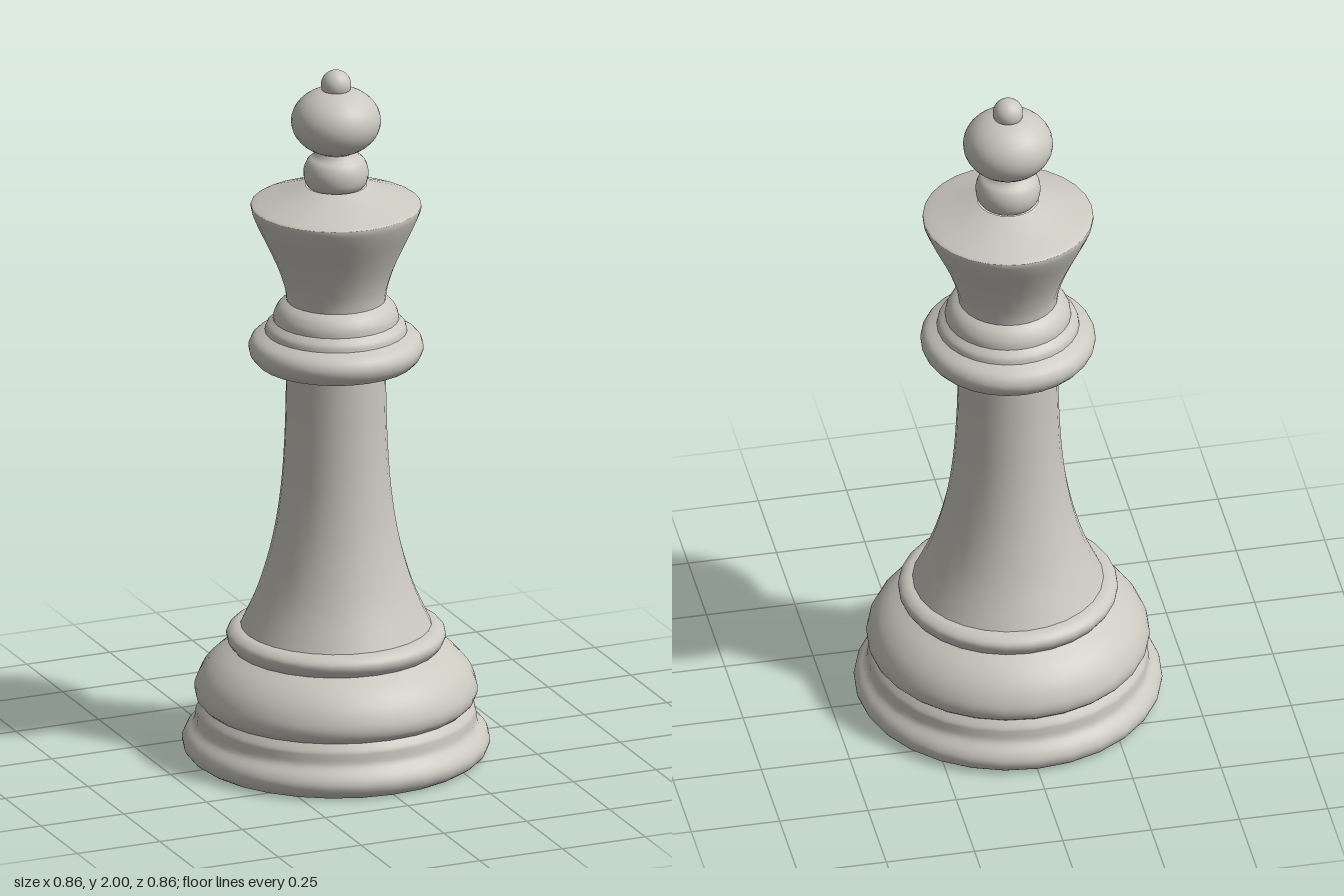
import * as THREE from 'three';

const SIDES = 28;

export function createModel() {
  const group = new THREE.Group();
  const ivory = new THREE.MeshStandardMaterial({ color: 0xcbc8c0 });
  ivory.name = 'warm grey';

  // Turned section: [radius, height] pairs from bottom to top.
  // With steps > 0 the points are joined by a smooth curve.
  function turn(name, pairs, steps = 0) {
    let points = pairs.map(([r, y]) => new THREE.Vector2(r, y));
    if (steps) points = new THREE.SplineCurve(points).getPoints(steps);
    const mesh = new THREE.Mesh(new THREE.LatheGeometry(points, SIDES), ivory);
    mesh.name = name;
    group.add(mesh);
  }

  // Foot: flat underside, rounded rim and sloping upper side
  turn('underside', [[0, 0], [0.4, 0]]);
  turn('footRim', [[0.4, 0], [0.42, 0.015], [0.428, 0.04], [0.418, 0.065], [0.395, 0.09],
    [0.39, 0.115], [0.387, 0.13], [0.372, 0.15]], 24);

  // Swelling base ring and the narrow ring above it
  turn('baseSwell', [[0.372, 0.15], [0.389, 0.168], [0.392, 0.2], [0.372, 0.245],
    [0.335, 0.285], [0.29, 0.315]], 18);
  turn('baseRing', [[0.29, 0.315], [0.303, 0.335], [0.303, 0.355], [0.285, 0.37], [0.265, 0.375]], 12);

  // Tapered stem
  turn('stem', [[0.265, 0.375], [0.215, 0.49], [0.176, 0.63], [0.153, 0.78],
    [0.142, 0.95], [0.138, 1.15]], 20);

  // Collar of stacked rings
  turn('collarUnderside', [[0.138, 1.15], [0.222, 1.15]]);
  turn('collarRim', [[0.222, 1.15], [0.238, 1.17], [0.243, 1.195], [0.23, 1.22], [0.198, 1.238]], 14);
  turn('collarMiddle', [[0.198, 1.238], [0.193, 1.255], [0.175, 1.272]], 8);
  turn('collarTop', [[0.175, 1.272], [0.172, 1.292], [0.158, 1.315], [0.138, 1.33]], 8);

  // Flared head with a shallow cone on top
  turn('head', [[0.138, 1.33], [0.143, 1.365], [0.16, 1.42], [0.188, 1.485],
    [0.219, 1.55], [0.235, 1.59], [0.237, 1.605]], 18);
  turn('headTop', [[0.237, 1.605], [0.228, 1.612], [0.155, 1.638], [0.085, 1.665]], 10);

  // Finial neck, ball and small knob
  turn('finialNeck', [[0.078, 1.662], [0.088, 1.68], [0.09, 1.71], [0.08, 1.737],
    [0.063, 1.752], [0.053, 1.77]], 14);
  function ball(name, radius, halfHeight, y) {
    const mesh = new THREE.Mesh(new THREE.SphereGeometry(1, SIDES, 20), ivory);
    mesh.scale.set(radius, halfHeight, radius);
    mesh.position.y = y;
    mesh.name = name;
    group.add(mesh);
  }
  ball('finialBall', 0.125, 0.097, 1.852);
  ball('finialKnob', 0.042, 0.042, 1.958);

  return group;
}
